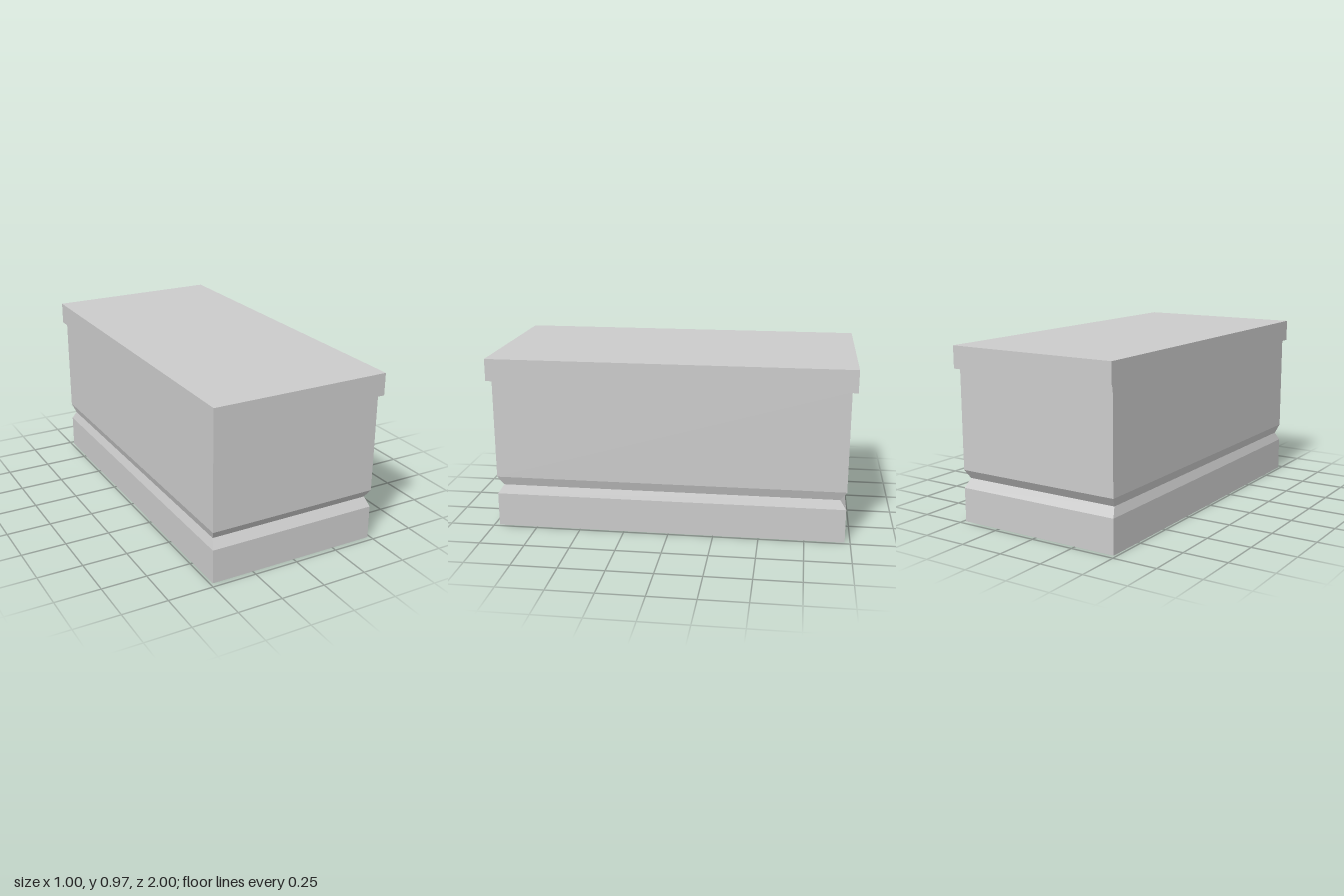
import * as THREE from 'three';

const material = new THREE.MeshStandardMaterial({ color: 0xcccccc, flatShading: true });

// Height and horizontal scale of each ring of the body, bottom to top
const RINGS = [
  [0, 1],
  [0.19, 1],
  [0.24, 0.965], // bottom of the V groove
  [0.29, 1],
  [0.845, 1],
];

function createBody() {
  const steps = RINGS.length - 1;
  const geometry = new THREE.BoxGeometry(0.97, 1, 1.94, 1, steps, 1);
  const pos = geometry.attributes.position;
  // Move each row of the box to its ring
  for (let i = 0; i < pos.count; i++) {
    const [y, scale] = RINGS[Math.round((pos.getY(i) + 0.5) * steps)];
    pos.setXYZ(i, pos.getX(i) * scale, y, pos.getZ(i) * scale);
  }
  geometry.computeVertexNormals();
  const body = new THREE.Mesh(geometry, material);
  body.name = 'groovedBody';
  return body;
}

function createLid() {
  const bottom = 0.845, top = 0.968;
  const lid = new THREE.Mesh(new THREE.BoxGeometry(1, top - bottom, 2), material);
  lid.position.y = (bottom + top) / 2;
  lid.name = 'lid';
  return lid;
}

export function createModel() {
  const group = new THREE.Group();
  group.name = 'chest';
  group.add(createBody(), createLid());
  return group;
}
